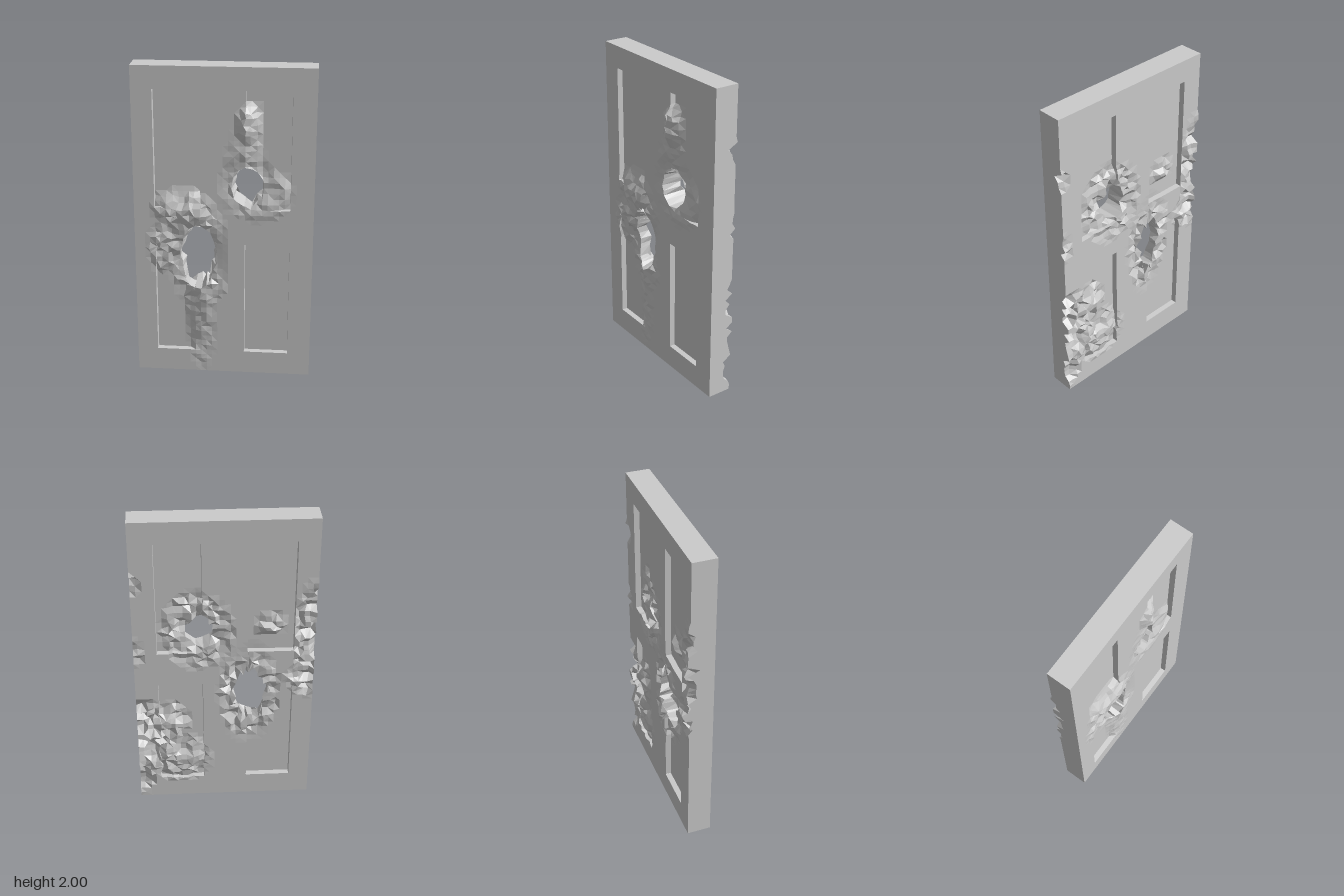
import * as THREE from 'three';

const FRONT = 0.06, BACK = -0.09, RECESS = 0.035;
const X0 = -0.553, X1 = 0.548;
const panels = [
  [-0.425, -0.145, 0.15, 0.89], [0.13, 0.405, 0.15, 0.89],
  [-0.425, -0.145, 1.12, 1.86], [0.13, 0.405, 1.12, 1.86],
];
// Broken-through holes: centre and radii
const holes = [
  { x: 0.142, y: 1.265, rx: 0.1, ry: 0.12 },
  { x: -0.16, y: 0.8, rx: 0.108, ry: 0.225 },
];
// Damage patches: x, y, radius x, radius y, push outward, roughness, softening of panel edge
const frontDamage = [
  [-0.25, 1.12, 0.19, 0.12, 0.024, 0.014, 1.6],
  [-0.16, 1.0, 0.16, 0.14, 0.035, 0.012, 1.5],
  [-0.32, 0.86, 0.16, 0.2, 0.012, 0.016, 1.5],
  [-0.16, 0.6, 0.16, 0.15, 0.022, 0.014, 1.5],
  [-0.14, 0.42, 0.09, 0.42, 0.0, 0.006, 2.5],
  [0.15, 1.66, 0.08, 0.13, 0.045, 0.018, 1],
  [0.13, 1.42, 0.12, 0.26, 0.006, 0.006, 2.5],
  [0.2, 1.22, 0.22, 0.17, 0.018, 0.008, 2],
];
const backDamage = [
  [0.16, 1.27, 0.22, 0.26, -0.004, 0.034, 0.8],
  [-0.16, 0.8, 0.19, 0.32, -0.004, 0.034, 0.8],
  [0.5, 0.52, 0.14, 0.26, -0.022, 0.06, 1],
  [0.34, 0.6, 0.12, 0.14, 0.012, 0.04, 1],
  [0.28, 0.3, 0.2, 0.18, 0.012, 0.02, 1],
  [0.54, 0.14, 0.07, 0.12, -0.022, 0.05, 0],
  [0.55, 1.14, 0.05, 0.1, -0.01, 0.03, 0],
  [0.55, 1.6, 0.05, 0.07, -0.01, 0.05, 0],
  [-0.53, 1.2, 0.1, 0.42, -0.016, 0.05, 0],
  [-0.5, 0.92, 0.12, 0.13, -0.012, 0.04, 0],
  [-0.28, 1.3, 0.1, 0.07, 0.025, 0.025, 0],
];

const hash = (a, b, c) => {
  const s = Math.sin(a * 127.1 + b * 311.7 + c * 74.7) * 43758.5453;
  return (s - Math.floor(s)) * 2 - 1;
};
const noise = (x, y, c) => hash(Math.floor(x * 25 + 0.2), Math.floor(y * 25 + 0.2), c);

// Grid lines, doubled at the panel edges so the recess walls stay sharp
function gridLines(start, end, edges) {
  const lines = [start], e = 0.001;
  const stops = [...edges.flatMap((v) => [v - e, v + e]), end];
  for (const stop of stops) {
    const from = lines[lines.length - 1];
    const n = Math.max(1, Math.round((stop - from) / 0.033));
    for (let k = 1; k <= n; k++) lines.push(from + (stop - from) * k / n);
  }
  return lines;
}

// Recess depth, 0 to 1; wide gives a crushed slope in place of a sharp step
function recess(x, y, wide) {
  let value = 0;
  for (const [a, b, c, d] of panels) {
    const inside = Math.min(x - a, b - x, y - c, d - y);
    value = Math.max(value, wide ? THREE.MathUtils.smoothstep(inside, -0.03, 0.13) : +(inside > 0));
  }
  return value;
}

const holeDistance = (h, x, y) => Math.hypot((x - h.x) / h.rx, (y - h.y) / h.ry);

// Point on the front (side 0) or back (side 1) of the slab
function surfacePoint(x, y, side) {
  let push = 0, rough = 0, soft = 0;
  for (const [cx, cy, rx, ry, p, r, s] of side ? backDamage : frontDamage) {
    const d = Math.hypot((x - cx) / rx, (y - cy) / ry);
    const w = Math.max(0, 1 - d * d);
    push += p * w;
    rough = Math.max(rough, r * Math.sqrt(w));
    soft = Math.max(soft, Math.min(1, s * w));
  }
  const depth = RECESS * THREE.MathUtils.lerp(recess(x, y, false), recess(x, y, true), soft);
  let out = push + rough * noise(x, y, side + 1) - depth;
  // Shift damaged vertices sideways, keeping the outline straight
  const border = x < X0 + 0.001 || x > X1 - 0.001 || y < 0.001 || y > 1.999;
  let px = x, py = y;
  if (!border && rough > 0.008) {
    px += 0.011 * noise(x, y, side + 5);
    py += 0.011 * noise(x, y, side + 9);
  }
  for (const h of holes) {
    const d = holeDistance(h, x, y);
    if (d < 1.7) out -= 0.022 * (1.7 - Math.max(d, 1)) * (side ? 0.6 : 1);
    if (d < 1) {
      // Pull to the rim; the back rim is splintered
      const t = Math.atan2((y - h.y) / h.ry, (x - h.x) / h.rx);
      const jag = hash(Math.floor(t * 5), h.x, 3);
      const r = side ? 0.9 + 0.17 * jag : 1.0 + 0.06 * jag;
      px = h.x + h.rx * r * Math.cos(t);
      py = h.y + h.ry * r * Math.sin(t);
    }
  }
  const z = side ? Math.max(BACK - out, BACK - 0.012) : Math.min(FRONT + out, 0.1);
  return [px, py, z];
}

function mesh(name, positions) {
  const g = new THREE.BufferGeometry();
  g.setAttribute('position', new THREE.Float32BufferAttribute(positions, 3));
  g.computeVertexNormals();
  const m = new THREE.Mesh(g, new THREE.MeshStandardMaterial({
    color: 0xcccccc, flatShading: true, side: THREE.DoubleSide,
  }));
  m.name = name;
  return m;
}

export function createModel() {
  const xs = gridLines(X0, X1, [-0.425, -0.145, 0.13, 0.405]);
  const ys = gridLines(0, 2, [0.15, 0.89, 1.12, 1.86]);
  const grid = [0, 1].map((s) => xs.map((x) => ys.map((y) => surfacePoint(x, y, s))));
  const open = xs.map((x) => ys.map((y) => holes.findIndex((h) => holeDistance(h, x, y) < 1)));
  const corners = (i, j) => [[i, j], [i + 1, j], [i + 1, j + 1], [i, j + 1]];
  const inGrid = (i, j) => i >= 0 && j >= 0 && i < xs.length - 1 && j < ys.length - 1;
  const solid = (i, j) => inGrid(i, j) && corners(i, j).some(([a, b]) => open[a][b] < 0);

  const front = [], back = [], edges = [], rims = [];
  const quad = (list, a, b, c, d) => list.push(...a, ...b, ...c, ...a, ...c, ...d);
  const neighbours = [[0, -1], [1, 0], [0, 1], [-1, 0]];
  for (let i = 0; i < xs.length - 1; i++) {
    for (let j = 0; j < ys.length - 1; j++) {
      if (!solid(i, j)) continue;
      const f = corners(i, j).map(([a, b]) => grid[0][a][b]);
      const k = corners(i, j).map(([a, b]) => grid[1][a][b]);
      // Alternate the diagonal for an irregular broken surface
      if ((i + j) % 2) {
        quad(front, f[0], f[1], f[2], f[3]);
        quad(back, k[3], k[2], k[1], k[0]);
      } else {
        quad(front, f[1], f[2], f[3], f[0]);
        quad(back, k[0], k[3], k[2], k[1]);
      }
      // Walls joining front to back at the outline and in the holes
      neighbours.forEach(([di, dj], n) => {
        if (solid(i + di, j + dj)) return;
        const m = (n + 1) % 4;
        quad(inGrid(i + di, j + dj) ? rims : edges, f[n], k[n], k[m], f[m]);
      });
    }
  }

  const door = new THREE.Group();
  door.name = 'batteredDoor';
  door.add(mesh('frontFace', front), mesh('backFace', back), mesh('outerEdges', edges), mesh('holeRims', rims));
  return door;
}
